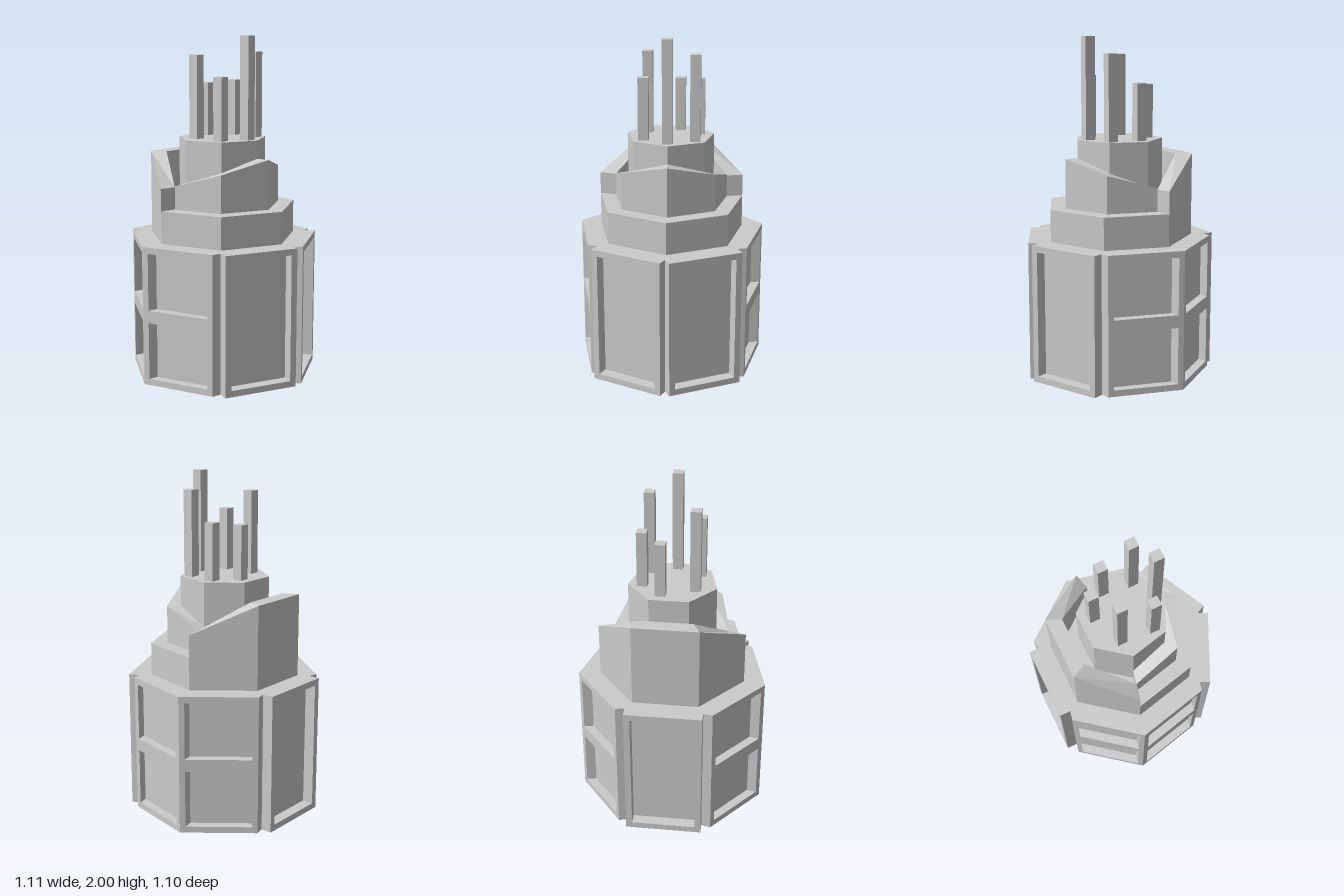
import * as THREE from 'three';

const SIDES = 7;
const STEP = (Math.PI * 2) / SIDES;
const CORE_R = 0.513;
const CORE_APOTHEM = CORE_R * Math.cos(STEP / 2);
const CORE_HALF = CORE_R * Math.sin(STEP / 2);
const BASE_H = 0.82;

const material = new THREE.MeshStandardMaterial({ color: 0xcccccc, flatShading: true });

function part(name, geometry) {
  const mesh = new THREE.Mesh(geometry, material);
  mesh.name = name;
  return mesh;
}

// Seven-sided block with a corner pointing to the front
function tier(name, radius, y0, y1) {
  const mesh = part(name, new THREE.CylinderGeometry(radius, radius, y1 - y0, SIDES));
  mesh.position.y = (y0 + y1) / 2;
  return mesh;
}

// Wall panel with recessed windows; lean slides its outer face sideways
function panel(name, half, depth, lean, windowHalf, windows) {
  const rect = (P, w, y0, y1) => {
    const p = new P();
    p.moveTo(-w, y0).lineTo(w, y0).lineTo(w, y1).lineTo(-w, y1).closePath();
    return p;
  };
  const shape = rect(THREE.Shape, half, 0, BASE_H);
  for (const [y0, y1] of windows) shape.holes.push(rect(THREE.Path, windowHalf, y0, y1));
  const g = new THREE.ExtrudeGeometry(shape, { depth, bevelEnabled: false });
  const p = g.attributes.position;
  for (let i = 0; i < p.count; i++) p.setX(i, p.getX(i) + (lean * p.getZ(i)) / depth);
  g.computeVertexNormals();
  return part(name, g);
}

// Partial ring wall whose top height changes from corner to corner
function slopedWall(name, firstCorner, heights, outer, inner, y0) {
  const at = (k, r, y) => [r * Math.sin(k * STEP), y, r * Math.cos(k * STEP)];
  const sections = heights.map((h, i) => {
    const k = firstCorner + i;
    return [at(k, outer, y0), at(k, outer, h), at(k, inner, h), at(k, inner, y0)];
  });
  const pos = [];
  const quad = (a, b, c, d) => pos.push(...a, ...b, ...c, ...a, ...c, ...d);
  for (let i = 0; i < sections.length - 1; i++) {
    const a = sections[i], b = sections[i + 1];
    for (let j = 0; j < 4; j++) quad(a[j], b[j], b[(j + 1) % 4], a[(j + 1) % 4]);
  }
  quad(...sections[0]);
  quad(...[...sections[sections.length - 1]].reverse());
  const g = new THREE.BufferGeometry();
  g.setAttribute('position', new THREE.Float32BufferAttribute(pos, 3));
  g.computeVertexNormals();
  return part(name, g);
}

export function createModel() {
  const model = new THREE.Group();
  model.name = 'tower';
  const body = new THREE.Group();
  body.name = 'body';
  body.position.set(-0.004, 0, -0.022);
  model.add(body);

  // Stacked tiers
  body.add(
    tier('baseCore', CORE_R, 0, BASE_H),
    tier('lowerTier', 0.442, BASE_H, 1.01),
    tier('topTier', 0.263, 1.01, 1.405)
  );

  // Ramps: high at the front and back, low at the sides
  body.add(
    slopedWall('frontRamp', -2, [1.145, 1.23, 1.3, 1.23, 1.145], 0.3445, 0.263, 1.01),
    slopedWall('backWall', 2, [1.14, 1.31, 1.31, 1.14], 0.442, 0.3445, 1.01)
  );

  // Base panels: single windows front and back, paired windows at the sides
  const lean = [0, 1, -1, 0, 1, -1, 0];
  lean.forEach((dir, i) => {
    const angle = (i + 0.5) * STEP;
    const p = dir === 0
      ? panel('singlePanel', CORE_HALF + 0.002, 0.066, 0, 0.188, [[0.037, 0.783]])
      : panel('doublePanel', CORE_HALF, 0.052, dir * 0.025, 0.19, [[0.037, 0.373], [0.448, 0.783]]);
    p.rotation.y = angle;
    p.position.set(Math.sin(angle) * CORE_APOTHEM, 0, Math.cos(angle) * CORE_APOTHEM);
    body.add(p);
  });

  // Square chimneys: x, z, top
  const chimneys = [
    [-0.14, -0.103, 1.89], [0.05, -0.181, 1.72], [0.168, -0.07, 1.735],
    [0.147, 0.104, 1.905], [-0.009, 0.17, 2], [-0.153, 0.09, 1.77]
  ];
  for (const [x, z, top] of chimneys) {
    const c = part('chimney', new THREE.BoxGeometry(0.06, top - 1.4, 0.06));
    c.position.set(x, (top + 1.4) / 2, z);
    model.add(c);
  }
  return model;
}
